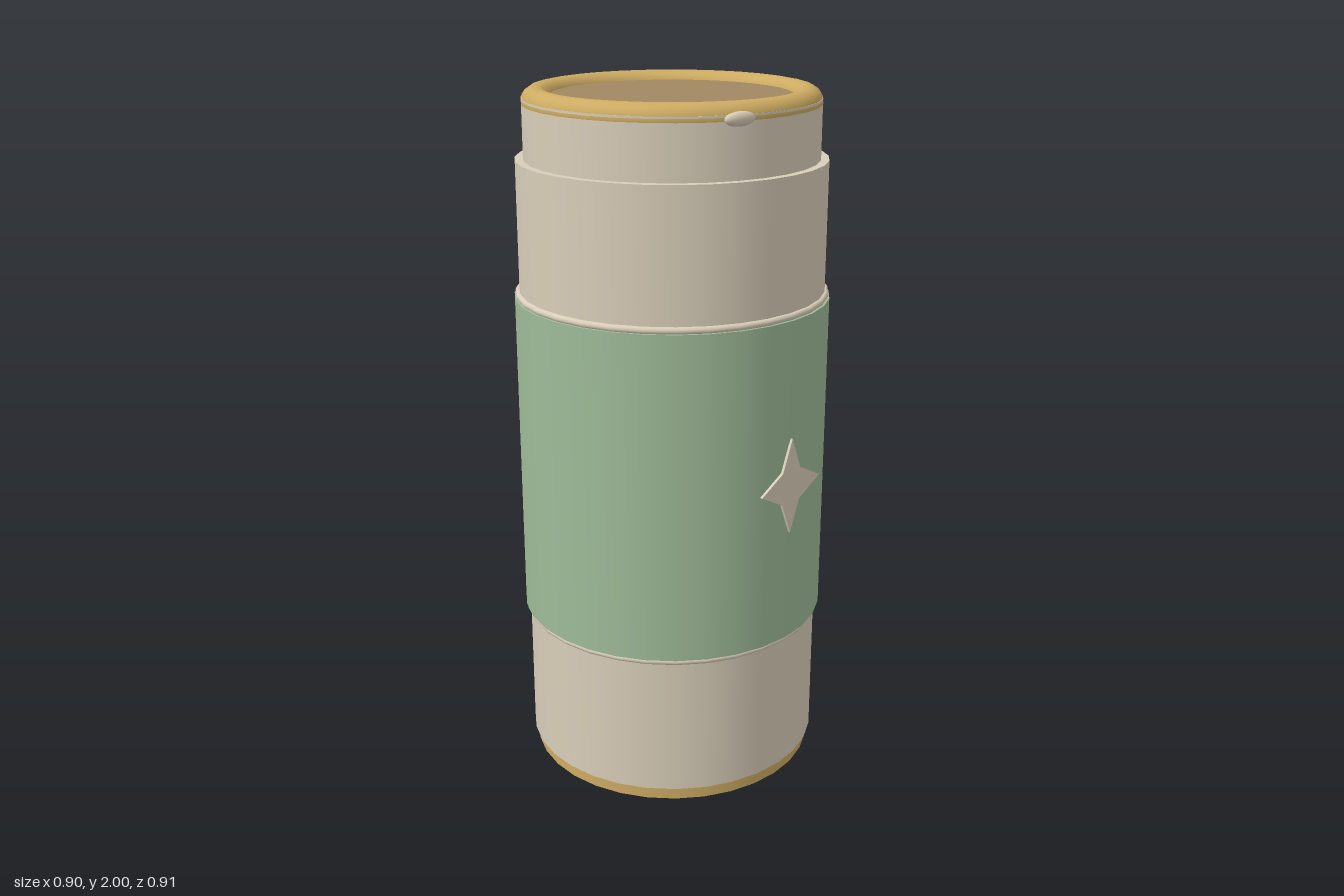
import * as THREE from 'three';

const mat = (name, hex) => {
  const m = new THREE.MeshStandardMaterial({ color: hex });
  m.name = name;
  return m;
};

export function createModel() {
  const cream = mat('cream', 0xd8cdb8);
  const green = mat('sage green', 0x9fbb98);
  const gold = mat('gold', 0xcdab62);
  const brown = mat('brown', 0xa08860);

  const model = new THREE.Group();
  model.name = 'canister';
  const axisZ = -0.004;
  const sides = 32;

  const add = (name, geometry, material, x, y, z) => {
    const mesh = new THREE.Mesh(geometry, material);
    mesh.name = name;
    mesh.position.set(x, y, z);
    model.add(mesh);
    return mesh;
  };
  // Upright cylinder between two heights
  const drum = (name, r, y0, y1, material) =>
    add(name, new THREE.CylinderGeometry(r, r, y1 - y0, sides), material, 0, (y0 + y1) / 2, axisZ);
  // Horizontal ring
  const ring = (name, r, tube, y, material) =>
    add(name, new THREE.TorusGeometry(r, tube, 16, sides).rotateX(Math.PI / 2), material, 0, y, axisZ);

  // Stacked body
  drum('base', 0.425, 0, 0.045, gold);
  drum('body', 0.436, 0.04, 1.805, cream);
  drum('sleeve', 0.45, 0.47, 1.42, green);
  drum('collar', 0.413, 1.8, 1.97, cream);
  drum('lid', 0.36, 1.95, 1.975, brown);
  ring('rim', 0.373, 0.041, 1.959, gold);

  // Trim at both ends of the sleeve
  for (const [name, y] of [['lowerTrim', 0.462], ['upperTrim', 1.428]]) {
    ring(name, 0.437, 0.01, y, cream);
  }

  // Four-pointed star plate on the front
  const star = new THREE.Shape();
  star.setFromPoints([
    [0, 0.14], [0.037, 0.047], [0.125, 0], [0.037, -0.047],
    [0, -0.14], [-0.037, -0.047], [-0.125, 0], [-0.037, 0.047],
  ].map(([x, y]) => new THREE.Vector2(x, y)));
  add('star', new THREE.ExtrudeGeometry(star, { depth: 0.008, bevelEnabled: false }), cream, 0, 0.945, 0.445);

  // Small flattened thumb tab beside the rim
  const tab = add('thumbTab', new THREE.SphereGeometry(1, 16, 10), cream, -0.157, 1.96, 0.379);
  tab.scale.set(0.05, 0.019, 0.016);
  tab.rotation.y = -0.15;

  return model;
}
